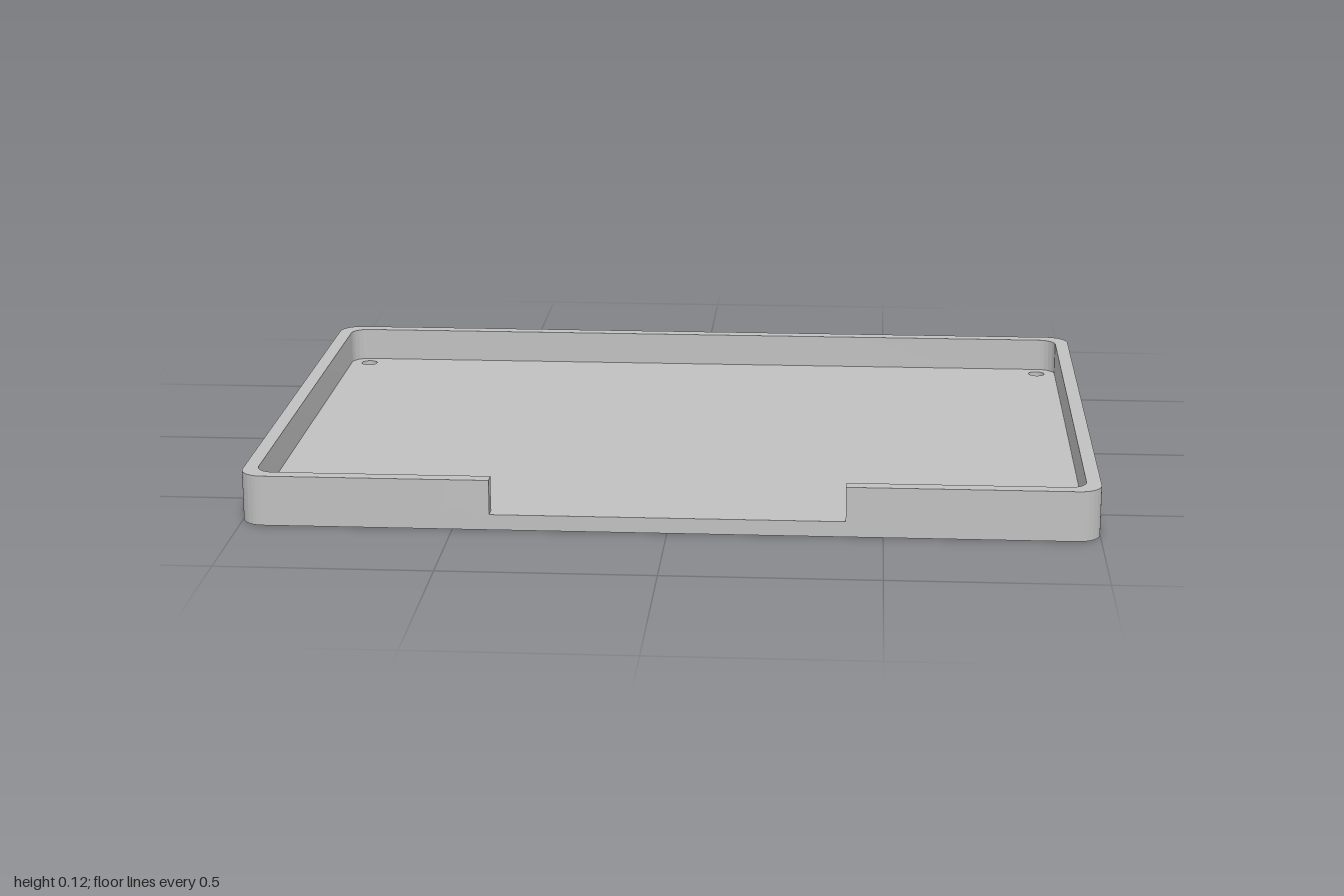
import * as THREE from 'three';
import { toCreasedNormals } from 'three/addons/utils/BufferGeometryUtils.js';

const HALF_X = 1, HALF_Z = 0.703, HEIGHT = 0.12, FLOOR = 0.037;
const WALL = 0.034, RADIUS = 0.055, NOTCH = 0.413;
const HOLE_X = 0.917, HOLE_Z = 0.624, HOLE_R = 0.021;

// Rounded rectangle run counter-clockwise from (startX, -hz) to (endX, -hz)
function traceRounded(path, hx, hz, r, startX, endX) {
  path.lineTo(startX, -hz);
  path.lineTo(hx - r, -hz);
  path.absarc(hx - r, -hz + r, r, -Math.PI / 2, 0);
  path.absarc(hx - r, hz - r, r, 0, Math.PI / 2);
  path.absarc(-hx + r, hz - r, r, Math.PI / 2, Math.PI);
  path.absarc(-hx + r, -hz + r, r, Math.PI, Math.PI * 1.5);
  path.lineTo(endX, -hz);
  return path;
}

// Extrude a plan shape upwards, smooth round the corners, sharp at the rims
function extrudeUp(shape, y, height) {
  const geometry = new THREE.ExtrudeGeometry(shape, { depth: height, bevelEnabled: false, curveSegments: 16 });
  geometry.rotateX(-Math.PI / 2).translate(0, y, 0);
  return toCreasedNormals(geometry, Math.PI / 6);
}

export function createModel() {
  const group = new THREE.Group();
  group.name = 'tray';
  const grey = new THREE.MeshStandardMaterial({ color: 0xc0c0c0 });
  grey.name = 'grey';

  function add(name, geometry) {
    const mesh = new THREE.Mesh(geometry, grey);
    mesh.name = name;
    group.add(mesh);
  }

  // Floor plate with a screw hole in each corner
  const plate = new THREE.Shape();
  plate.moveTo(0, -HALF_Z);
  traceRounded(plate, HALF_X, HALF_Z, RADIUS, 0, 0);
  for (const sx of [-1, 1]) {
    for (const sz of [-1, 1]) {
      plate.holes.push(new THREE.Path().absarc(sx * HOLE_X, sz * HOLE_Z, HOLE_R, 0, Math.PI * 2, true));
    }
  }
  add('floor', extrudeUp(plate, 0, FLOOR));

  // Rim wall, open at the front notch: out along the outer face, back along the inner
  const rim = new THREE.Shape();
  rim.moveTo(NOTCH, -HALF_Z);
  traceRounded(rim, HALF_X, HALF_Z, RADIUS, NOTCH, -NOTCH);
  const inner = new THREE.Path();
  inner.moveTo(NOTCH, -HALF_Z + WALL);
  traceRounded(inner, HALF_X - WALL, HALF_Z - WALL, 0.042, NOTCH, -NOTCH);
  for (const p of inner.getPoints(16).reverse()) rim.lineTo(p.x, p.y);
  add('rimWall', extrudeUp(rim, FLOOR, HEIGHT - FLOOR));

  return group;
}
